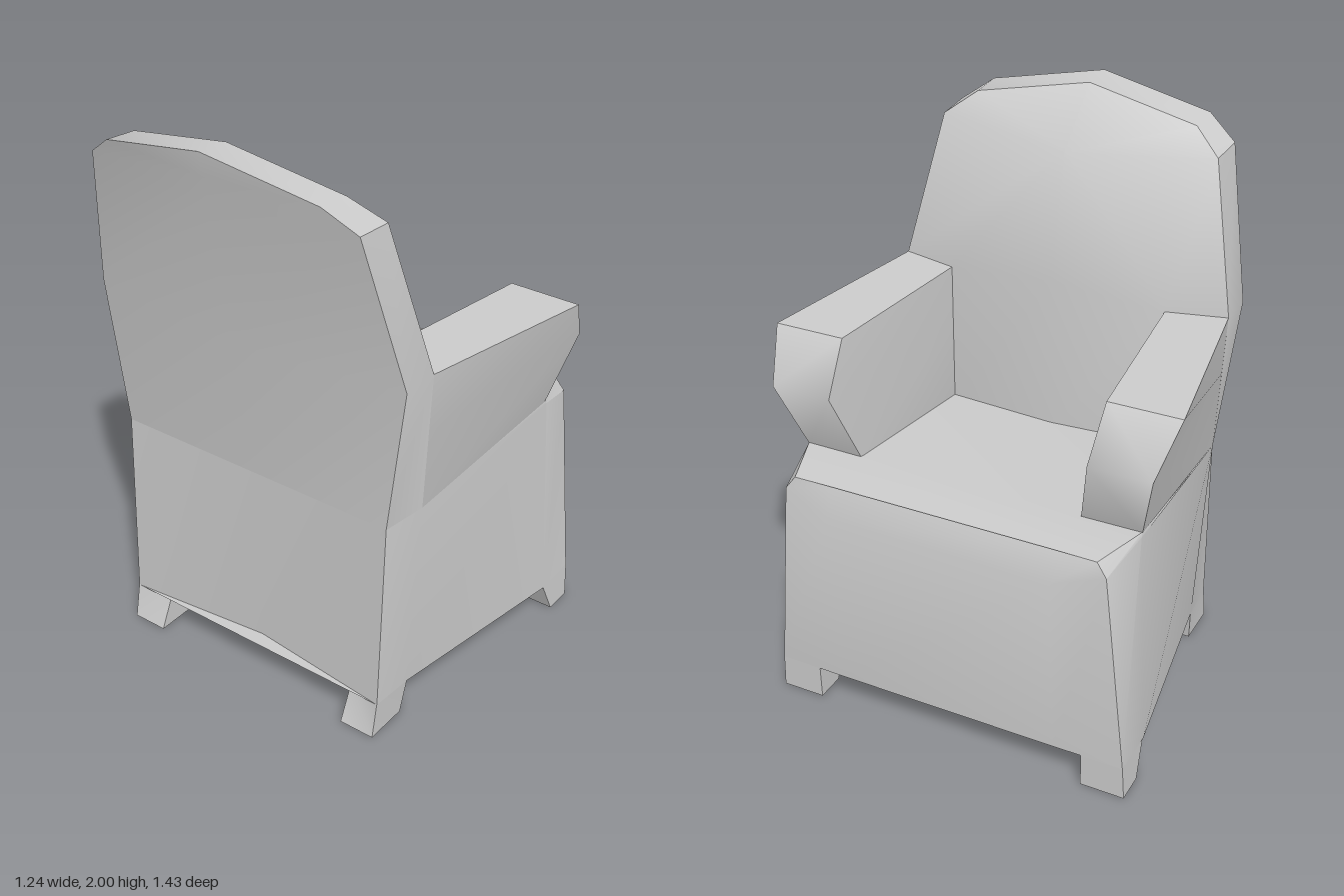
import * as THREE from 'three';
import { toCreasedNormals } from 'three/addons/utils/BufferGeometryUtils.js';

const material = new THREE.MeshStandardMaterial({ color: 0xcccccc });

// Complete a half outline (z >= 0) with its mirror image.
const mirrorRing = (half) => [...half, ...half.map(([x, y, z]) => [x, y, -z]).reverse()];
const flipZ = (rings, s) => rings.map((r) => r.map(([x, y, z]) => [x, y, z * s]));

// Closed skin through equal-length rings; each end is capped with cross strips.
function loft(name, crease, rings) {
  const tris = [];
  const quad = (a, b, c, d) => tris.push([a, b, c], [a, c, d]);
  const n = rings[0].length;
  for (let k = 0; k < rings.length - 1; k++) {
    const p = rings[k], q = rings[k + 1];
    for (let i = 0; i < n; i++) quad(p[i], p[(i + 1) % n], q[(i + 1) % n], q[i]);
  }
  const first = rings[0], last = rings[rings.length - 1];
  for (let i = 0; i < n / 2 - 1; i++) {
    const j = n - 1 - i;
    quad(first[i + 1], first[i], first[j], first[j - 1]);
    quad(last[i], last[i + 1], last[j - 1], last[j]);
  }
  // Drop collapsed triangles and make the surface face outwards.
  const V = (p) => new THREE.Vector3(...p);
  let volume = 0;
  const solid = tris.filter(([a, b, c]) => {
    volume += V(a).dot(V(b).cross(V(c)));
    return V(b).sub(V(a)).cross(V(c).sub(V(a))).length() > 1e-7;
  });
  const points = solid.flatMap(([a, b, c]) => (volume < 0 ? [a, c, b] : [a, b, c]));
  const geometry = new THREE.BufferGeometry();
  geometry.setAttribute('position', new THREE.Float32BufferAttribute(points.flat(), 3));
  const mesh = new THREE.Mesh(toCreasedNormals(geometry, crease), material);
  mesh.name = name;
  return mesh;
}

// Rectangle in x and z at height y.
const rect = (y, x0, x1, z0, z1) => [[x0, y, z0], [x1, y, z0], [x1, y, z1], [x0, y, z1]];

export function createModel() {
  const chair = new THREE.Group();
  chair.name = 'armchair';

  // Upholstered base, narrower at the back, with a sloping seat and rounded front edge
  chair.add(loft('seatBase', 0.5, [
    [[-0.4, 0.125, 0], [-0.455, 0.125, 0.53], [-0.3, 0.125, 0.54], [0.41, 0.125, 0.65], [0.578, 0.125, 0.648], [0.58, 0.125, 0.4]],
    [[-0.43, 0.82, 0], [-0.43, 0.82, 0.535], [-0.3, 0.85, 0.58], [0.4, 0.9, 0.61], [0.585, 0.85, 0.575], [0.62, 0.8, 0.4]],
    [[-0.4, 0.815, 0], [-0.4, 0.815, 0.52], [-0.3, 0.825, 0.57], [0.39, 0.912, 0.607], [0.578, 0.897, 0.54], [0.58, 0.9, 0.4]],
  ].map(mirrorRing)));

  // Backrest: rear centre line, rear rim, front rim, cushion edge, cushion centre line
  chair.add(loft('backrest', 0.65, [
    [[-0.43, 0.82, 0], [-0.515, 1.34, 0], [-0.596, 1.845, 0], [-0.608, 1.92, 0], [-0.62, 2, 0]],
    [[-0.43, 0.82, 0.535], [-0.44, 1.34, 0.605], [-0.54, 1.85, 0.505], [-0.58, 1.925, 0.4], [-0.62, 2, 0]],
    [[-0.3, 0.85, 0.58], [-0.3, 1.34, 0.605], [-0.4, 1.84, 0.5], [-0.46, 1.915, 0.4], [-0.5, 1.99, 0]],
    [[-0.25, 0.8, 0.4], [-0.25, 1.34, 0.4], [-0.31, 1.81, 0], [-0.31, 1.81, 0], [-0.31, 1.81, 0]],
    [[-0.215, 0.8, 0], [-0.22, 1.38, 0], [-0.31, 1.81, 0], [-0.31, 1.81, 0], [-0.31, 1.81, 0]],
  ].map(mirrorRing)));

  for (const [side, s] of [['left', 1], ['right', -1]]) {
    // Arm flaring outwards, with a rounded nose
    chair.add(loft(side + 'Arm', 0.95, flipZ([
      [[-0.3, 0.85, 0.58], [-0.3, 1.13, 0.594], [-0.3, 1.34, 0.605], [-0.25, 1.34, 0.4], [-0.25, 1.13, 0.4], [-0.25, 0.82, 0.4]],
      [[0.39, 0.91, 0.608], [0.48, 1.155, 0.67], [0.367, 1.325, 0.715], [0.367, 1.325, 0.465], [0.48, 1.155, 0.455], [0.39, 0.905, 0.4]],
    ], s)));

    // Tapered feet
    chair.add(loft(side + 'FrontFoot', 0.5, flipZ([
      rect(0, 0.47, 0.575, 0.5, 0.655),
      rect(0.13, 0.41, 0.578, 0.5, 0.648),
    ], s)));
    chair.add(loft(side + 'BackFoot', 0.5, flipZ([
      rect(0, -0.48, -0.32, 0.4, 0.53),
      [[-0.42, 0.13, 0.4], [-0.295, 0.13, 0.4], [-0.295, 0.13, 0.54], [-0.455, 0.13, 0.53]],
    ], s)));
  }
  return chair;
}
